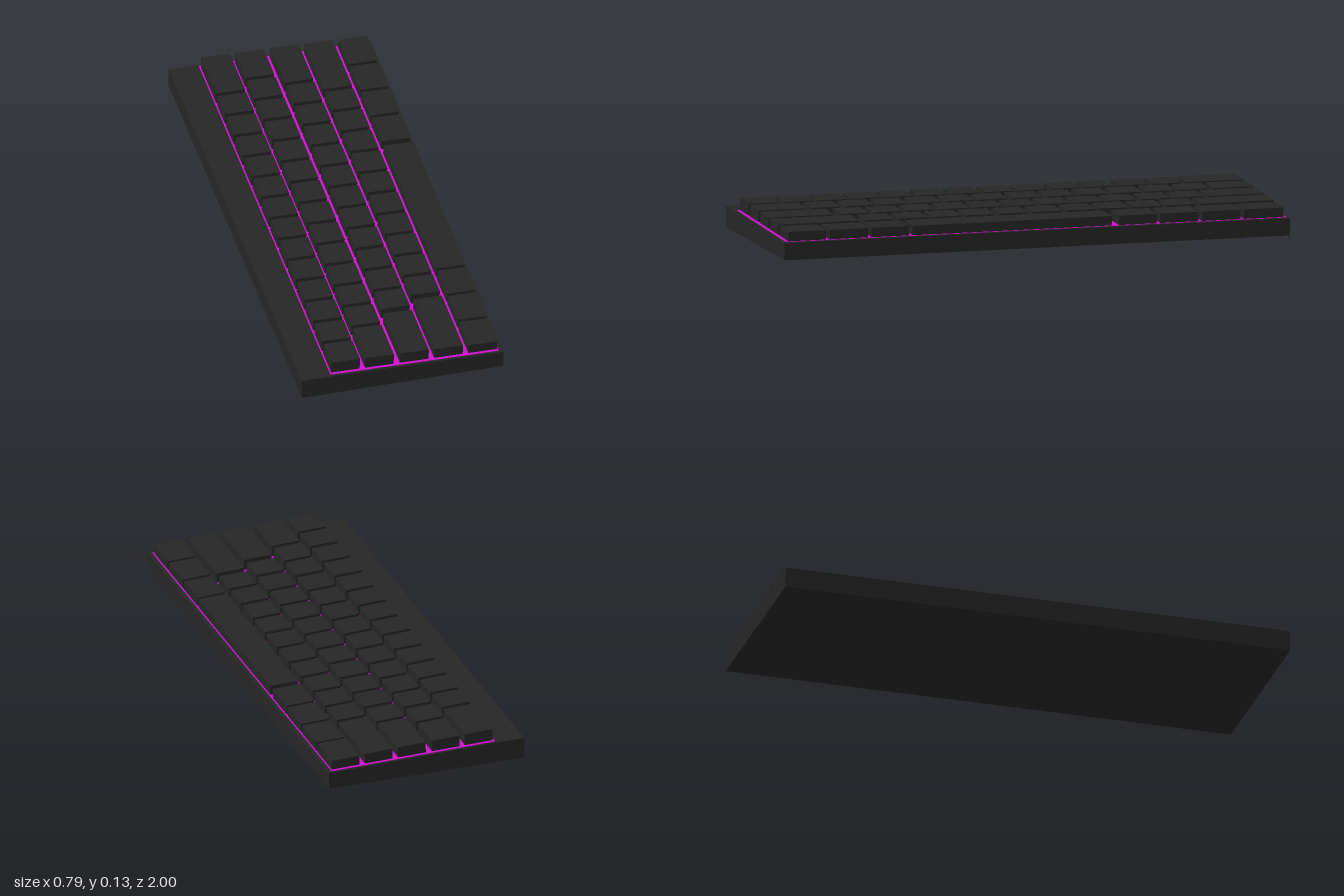
import * as THREE from 'three';

const dark = new THREE.MeshStandardMaterial({ color: 0x262626 });
const magenta = new THREE.MeshStandardMaterial({ color: 0xd010d0 });

// Extrude an x-y profile along z, centred on z = 0
function slab(name, points, length, material) {
  const shape = new THREE.Shape(points.map(([x, y]) => new THREE.Vector2(x, y)));
  const geometry = new THREE.ExtrudeGeometry(shape, { depth: length, bevelEnabled: false });
  geometry.translate(0, 0, -length / 2);
  const mesh = new THREE.Mesh(geometry, material);
  mesh.name = name;
  return mesh;
}

// Evenly spaced gap centres between neighbouring keys
const PITCH = 0.1325;
const gaps = (first, count) => Array.from({ length: count }, (_, i) => first + i * PITCH);

// Each row: centre x, top height, gap centres along z, gap width, wide last gap
const rows = [
  { x: -0.218, top: 0.128, cuts: gaps(-0.74, 13), gap: 0.018 },
  { x: -0.085, top: 0.1235, cuts: gaps(-0.811, 13), gap: 0.018 },
  { x: 0.052, top: 0.119, cuts: gaps(-0.75, 12), gap: 0.018, wide: 11 },
  { x: 0.186, top: 0.114, cuts: gaps(-0.68, 11), gap: 0.018, wide: 10 },
  { x: 0.32, top: 0.1075, cuts: [-0.816, -0.65, -0.486, -0.314, 0.495, 0.657, 0.824], gap: 0.014, wide: 3 },
];

const KEY_DEPTH = 0.112;
const TILT = -0.036;
const END = 0.979;
const plateY = (x) => 0.083 - (x + 0.28) * 0.0212;

function keyRow({ x, top, cuts, gap, wide }, index) {
  const row = new THREE.Group();
  row.name = `keyRow${index + 1}`;
  const half = (i) => (i === wide ? 0.014 : gap / 2);
  const height = top - plateY(x) + 0.002;
  for (let i = 0; i <= cuts.length; i++) {
    const z0 = i === 0 ? -END : cuts[i - 1] + half(i - 1);
    const z1 = i === cuts.length ? END : cuts[i] - half(i);
    const key = new THREE.Mesh(new THREE.BoxGeometry(KEY_DEPTH, height, z1 - z0), dark);
    key.name = 'key';
    key.position.set(x, top - height / 2, (z0 + z1) / 2);
    key.rotation.z = TILT;
    row.add(key);
  }
  return row;
}

export function createModel() {
  const model = new THREE.Group();
  model.name = 'keyboard';

  // Wedge-shaped case with a flat strip along the far edge
  model.add(slab('case', [[-0.395, 0], [0.395, 0], [0.395, 0.067], [-0.28, 0.081], [-0.395, 0.081]], 2, dark));

  // Bright plate showing between the keys
  model.add(slab('keyPlate', [[-0.28, 0.075], [0.38, 0.062], [0.38, plateY(0.38)], [-0.28, plateY(-0.28)]], 1.98, magenta));

  // Five rows of keys
  rows.forEach((row, i) => model.add(keyRow(row, i)));
  return model;
}
